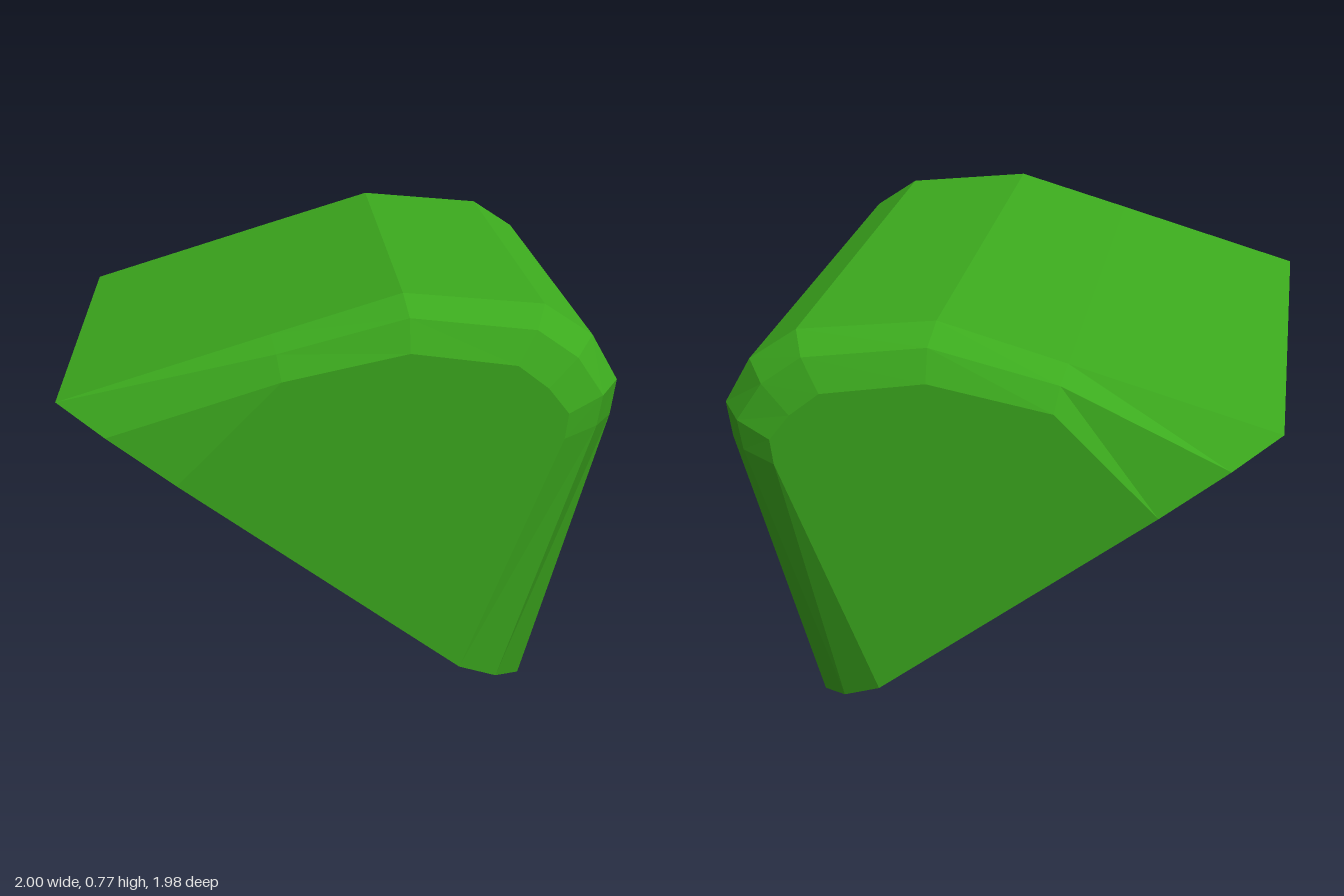
import * as THREE from 'three';

// Cross-sections as [depth, height], from the front lip over the roof to the foot of the back wall
const roof = [[-0.575, 0.56], [-0.15, 0.694], [0.11, 0.775], [0.39, 0.752], [0.485, 0.69], [0.535, 0.6], [0.522, 0.53], [0.345, 0]];
const bevel = [[-0.475, 0.5], [-0.14, 0.665], [0.12, 0.735], [0.37, 0.71], [0.45, 0.655], [0.5, 0.58], [0.488, 0.52], [0.295, 0.012]];
const cap = [[-0.335, 0.41], [-0.13, 0.615], [0.12, 0.67], [0.33, 0.645], [0.39, 0.6], [0.43, 0.55], [0.422, 0.5], [0.22, 0.04]];

// Sections placed along the length, mirrored at the two ends
const half = [[0.838, roof], [0.902, bevel], [0.933, cap]];
const sections = [...half.map(([u, s]) => [-u, s]).reverse(), ...half];

function shellGeometry() {
  const n = roof.length;
  const positions = [];
  const index = [];
  for (const [u, section] of sections) {
    for (const [depth, height] of section) positions.push(u, height, -depth);
  }
  // Skin between neighbouring sections
  for (let i = 0; i < sections.length - 1; i++) {
    for (let j = 0; j < n - 1; j++) {
      const a = i * n + j;
      const b = a + n;
      index.push(a, b, b + 1, a, b + 1, a + 1);
    }
  }
  // Flat end walls
  const last = (sections.length - 1) * n;
  for (let j = 1; j < n - 1; j++) {
    index.push(0, j, j + 1);
    index.push(last, last + j + 1, last + j);
  }
  const geometry = new THREE.BufferGeometry();
  geometry.setAttribute('position', new THREE.Float32BufferAttribute(positions, 3));
  geometry.setIndex(index);
  const flat = geometry.toNonIndexed();
  flat.computeVertexNormals();
  return flat;
}

export function createModel() {
  const group = new THREE.Group();
  group.name = 'openShell';
  // Hollow shell, open along its slanted underside
  const material = new THREE.MeshStandardMaterial({ color: 0x3caa1e, flatShading: true, side: THREE.DoubleSide });
  const shell = new THREE.Mesh(shellGeometry(), material);
  shell.name = 'shell';
  shell.rotation.y = THREE.MathUtils.degToRad(-44.3);
  group.add(shell);
  return group;
}
